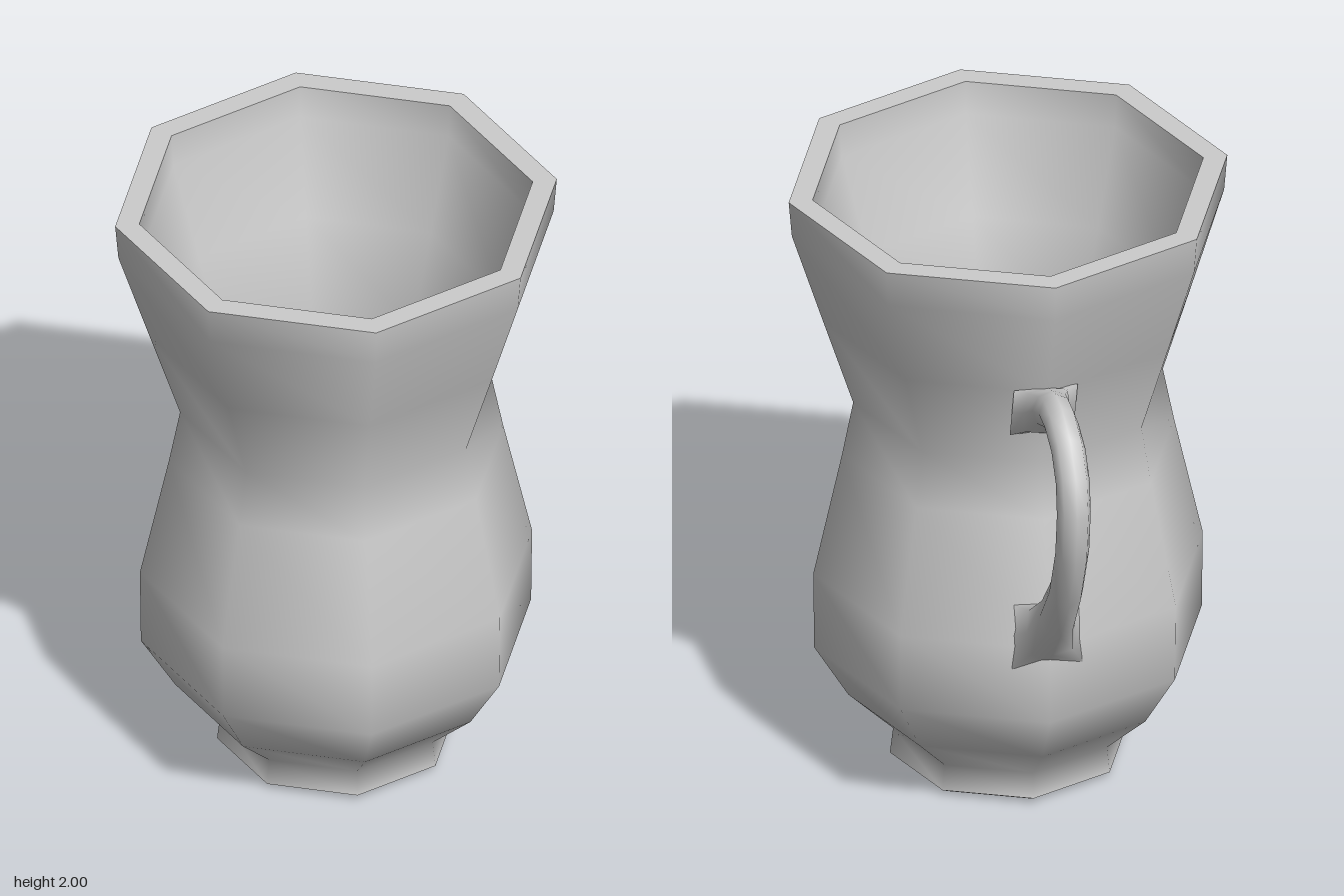
import * as THREE from 'three';

const SIDES = 8;
const CENTRE_Z = 0.155;

// Eight-sided turned surface, smooth along its profile
function turned(name, profile, material) {
  const points = profile.map(([r, y]) => new THREE.Vector2(r, y));
  const mesh = new THREE.Mesh(new THREE.LatheGeometry(points, SIDES), material);
  mesh.name = name;
  mesh.position.z = CENTRE_Z;
  return mesh;
}

// Loft in the x = 0 plane. Station: inner edge z, y, outer edge z, y, half width, squareness
function loftHandle(stations) {
  const n = 8;
  const positions = [];
  const index = [];
  for (const [zi, yi, zo, yo, w, square] of stations) {
    for (let k = 0; k < n; k++) {
      const a = (k / n) * Math.PI * 2;
      const s = k % 2 ? 1 + (Math.SQRT2 - 1) * square : 1;
      const t = Math.cos(a) * s;
      positions.push(
        Math.sin(a) * s * w,
        (yi + yo) / 2 + (t * (yo - yi)) / 2,
        (zi + zo) / 2 + (t * (zo - zi)) / 2,
      );
    }
  }
  for (let i = 0; i < stations.length - 1; i++) {
    for (let k = 0; k < n; k++) {
      const a = i * n + k;
      const b = i * n + ((k + 1) % n);
      index.push(a, a + n, b, b, a + n, b + n);
    }
  }
  const geometry = new THREE.BufferGeometry();
  geometry.setAttribute('position', new THREE.Float32BufferAttribute(positions, 3));
  geometry.setIndex(index);
  geometry.computeVertexNormals();
  return geometry;
}

export function createModel() {
  const group = new THREE.Group();
  group.name = 'mug';
  const material = new THREE.MeshStandardMaterial({ color: 0xcccccc });

  // Foot, belly, waist and flared mouth
  const outer = [
    [0.37, 0.02], [0.36, 0.105], [0.5, 0.24], [0.607, 0.42], [0.61, 0.68],
    [0.52, 1.09], [0.485, 1.27], [0.58, 1.57], [0.677, 1.88], [0.687, 2],
  ];
  // Hollow, from the rim down to the floor
  const inner = [
    [0.612, 2], [0.605, 1.89], [0.51, 1.58], [0.415, 1.28], [0.45, 1.08],
    [0.54, 0.67], [0.537, 0.44], [0.45, 0.28], [0.3, 0.16], [0, 0.13],
  ];
  group.add(
    turned('outerWall', outer, material),
    turned('rim', [outer[outer.length - 1], inner[0]], material),
    turned('innerWall', inner, material),
    turned('footBevel', [[0.335, 0], outer[0]], material),
    turned('base', [[0, 0], [0.335, 0]], material),
  );

  // Handle at the back, with squared flares where it meets the wall
  const handle = new THREE.Mesh(
    loftHandle([
      [-0.33, 1.38, -0.39, 1.57, 0.1, 1],
      [-0.375, 1.4, -0.425, 1.588, 0.072, 0.5],
      [-0.45, 1.465, -0.48, 1.608, 0.058, 0.1],
      [-0.54, 1.5, -0.53, 1.625, 0.053, 0],
      [-0.62, 1.5, -0.62, 1.625, 0.053, 0],
      [-0.69, 1.48, -0.74, 1.58, 0.053, 0],
      [-0.735, 1.42, -0.82, 1.485, 0.053, 0],
      [-0.74, 1.35, -0.845, 1.35, 0.053, 0],
      [-0.72, 1.23, -0.82, 1.18, 0.053, 0],
      [-0.635, 1.05, -0.73, 0.985, 0.053, 0],
      [-0.51, 0.91, -0.6, 0.805, 0.056, 0.1],
      [-0.43, 0.825, -0.49, 0.68, 0.075, 0.5],
      [-0.37, 0.81, -0.41, 0.6, 0.11, 1],
    ]),
    new THREE.MeshStandardMaterial({ color: 0xcccccc, side: THREE.DoubleSide }),
  );
  handle.name = 'handle';
  group.add(handle);

  return group;
}
